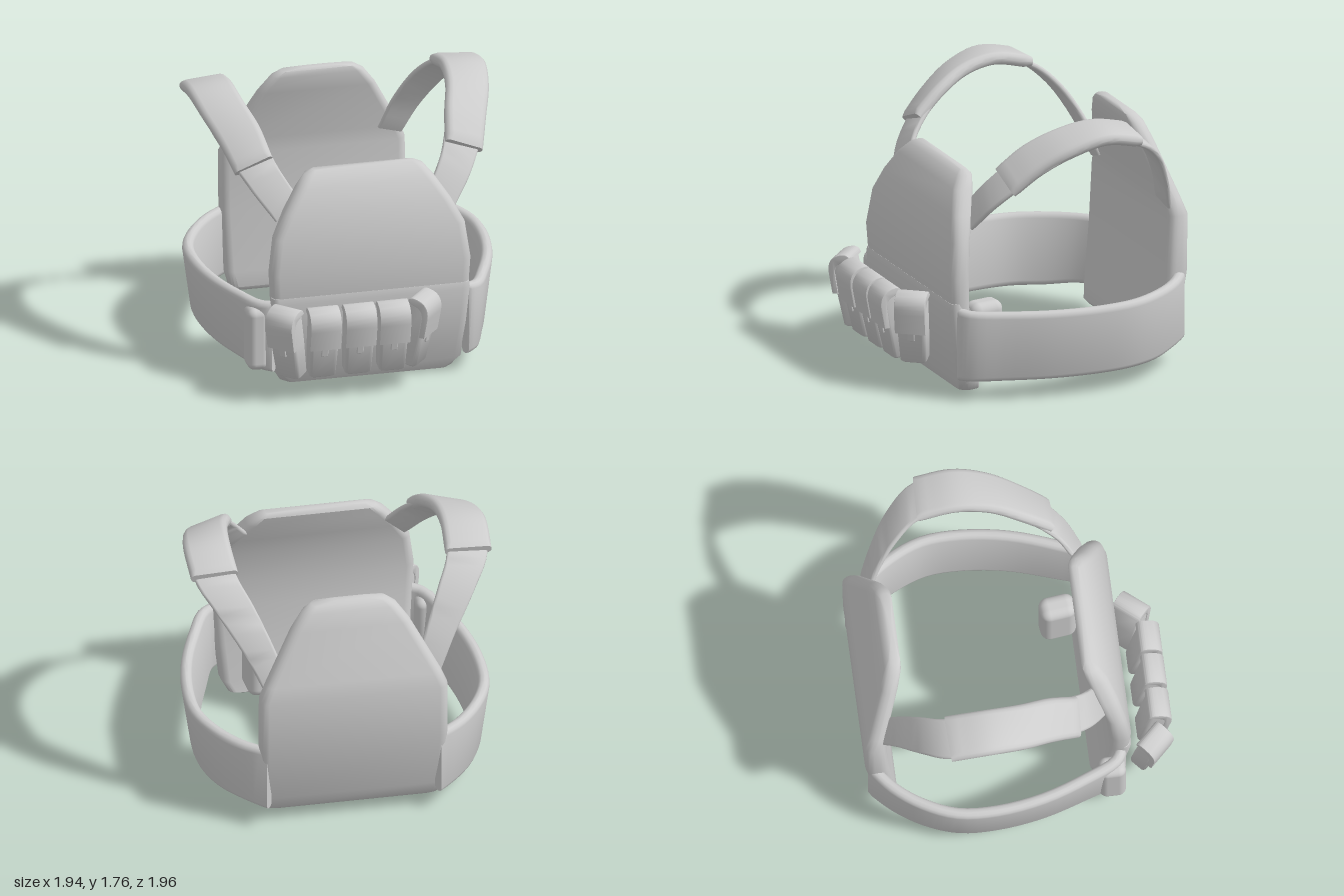
import * as THREE from 'three';
import { toCreasedNormals } from 'three/addons/utils/BufferGeometryUtils.js';
import { RoundedBoxGeometry } from 'three/addons/geometries/RoundedBoxGeometry.js';

const V = (x, y, z) => new THREE.Vector3(x, y, z);

// Rounded rectangle outline of w by h as [u, v] pairs
function roundRect(w, h, r, k = 4) {
  r = Math.min(r, w / 2 - 0.001, h / 2 - 0.001);
  const pts = [];
  [[1, 1], [-1, 1], [-1, -1], [1, -1]].forEach(([sx, sy], q) => {
    for (let i = 0; i <= k; i++) {
      const a = (q + i / k) * Math.PI / 2;
      pts.push([sx * (w / 2 - r) + r * Math.cos(a), sy * (h / 2 - r) + r * Math.sin(a)]);
    }
  });
  return pts;
}

// Closed solid through rings of points, capped at both ends
function loft(rings, crease = 0.95) {
  const n = rings[0].length, pts = rings.flat(), idx = [];
  for (let i = 0; i < rings.length - 1; i++) {
    for (let j = 0; j < n; j++) {
      const a = i * n + j, b = i * n + (j + 1) % n;
      idx.push(a, b, a + n, b, b + n, a + n);
    }
  }
  [0, rings.length - 1].forEach((ri, end) => {
    const c = pts.length;
    pts.push(rings[ri].reduce((s, p) => s.add(p), V(0, 0, 0)).divideScalar(n));
    for (let j = 0; j < n; j++) {
      const a = ri * n + j, b = ri * n + (j + 1) % n;
      idx.push(...(end ? [c, a, b] : [c, b, a]));
    }
  });
  // Turn the faces outward if the enclosed volume is negative
  let vol = 0;
  for (let i = 0; i < idx.length; i += 3) {
    vol += pts[idx[i]].dot(V(0, 0, 0).crossVectors(pts[idx[i + 1]], pts[idx[i + 2]]));
  }
  if (vol < 0) idx.reverse();
  const g = new THREE.BufferGeometry().setFromPoints(pts);
  g.setIndex(idx);
  return toCreasedNormals(g, crease);
}

// Upright plate from levels of [y, half width, back z, front z]
function plate(levels) {
  return loft(levels.map(([y, w, z0, z1]) =>
    roundRect(2 * w, z1 - z0, 0.055).map(([u, v]) => V(u, y, (z0 + z1) / 2 + v))));
}

// Soft band between two edge curves; rows are [ax, ay, az, bx, by, bz]
function band(rows, thick, side, steps = 24) {
  const ca = new THREE.CatmullRomCurve3(rows.map(p => V(p[0] * side, p[1], p[2])));
  const cb = new THREE.CatmullRomCurve3(rows.map(p => V(p[3] * side, p[4], p[5])));
  const rings = [];
  for (let i = 0; i <= steps; i++) {
    const t = i / steps, a = ca.getPoint(t), b = cb.getPoint(t);
    const u = b.clone().sub(a), w = u.length();
    u.normalize();
    const tan = ca.getTangent(t).add(cb.getTangent(t));
    const n = V(0, 0, 0).crossVectors(tan, u).normalize();
    const c = a.add(b).multiplyScalar(0.5);
    const h = thick * (i === 0 || i === steps ? 0.7 : 1);
    rings.push(roundRect(w, h, h * 0.48, 3).map(([p, q]) =>
      c.clone().addScaledVector(u, p).addScaledVector(n, q)));
  }
  return loft(rings);
}

export function createModel() {
  const model = new THREE.Group();
  model.name = 'plateVest';
  const fabric = new THREE.MeshStandardMaterial({ color: 0xcccccc });
  fabric.name = 'grey fabric';
  const add = (name, geo, parent = model) => {
    const m = new THREE.Mesh(geo, fabric);
    m.name = name;
    parent.add(m);
    return m;
  };

  // Chest and back plates
  add('frontPlate', plate([
    [0.005, 0.5, 0.47, 0.53], [0.03, 0.56, 0.44, 0.57], [0.1, 0.6, 0.46, 0.6],
    [0.35, 0.62, 0.51, 0.65], [0.62, 0.64, 0.55, 0.68], [0.8, 0.65, 0.555, 0.69],
    [1.03, 0.62, 0.535, 0.66], [1.18, 0.54, 0.48, 0.62], [1.32, 0.445, 0.43, 0.565],
    [1.39, 0.385, 0.41, 0.51], [1.415, 0.33, 0.43, 0.475]]));
  add('frontPanel', plate([
    [0.02, 0.53, 0.47, 0.575], [0.1, 0.605, 0.5, 0.612], [0.35, 0.628, 0.54, 0.662],
    [0.6, 0.645, 0.58, 0.692], [0.64, 0.64, 0.6, 0.682]]));
  add('backPlate', plate([
    [0.07, 0.5, -0.86, -0.81], [0.1, 0.56, -0.895, -0.785], [0.2, 0.585, -0.93, -0.8],
    [0.6, 0.6, -0.99, -0.84], [0.98, 0.6, -0.995, -0.86], [1.08, 0.56, -0.965, -0.85],
    [1.42, 0.38, -0.865, -0.755], [1.53, 0.3, -0.83, -0.725],
    [1.57, 0.24, -0.8, -0.725], [1.585, 0.1, -0.775, -0.74]]));

  for (const [side, label] of [[1, 'left'], [-1, 'right']]) {
    // Side wrap, leaning inward at the bottom
    const path = [[0.62, 0.63], [0.7, 0.58], [0.79, 0.39], [0.89, 0.1], [0.935, -0.2],
      [0.92, -0.45], [0.83, -0.66], [0.7, -0.83], [0.54, -0.955]];
    add(label + 'SideWrap', band(path.map(([x, z], i) => {
      const lean = 0.065 * Math.sin(Math.PI * i / 8);
      const top = 0.61 - 0.015 * Math.sin(Math.PI * i / 8);
      return [x - lean, 0.13 + (i > 6 ? 0.02 : 0), z * (1 - lean * 0.6), x, top, z];
    }), 0.075, side, 32));

    // Thin webbing running from chest to back
    add(label + 'ShoulderStrap', band([
      [0.44, 1.26, 0.46, 0.58, 1.1, 0.52], [0.53, 1.41, 0.36, 0.72, 1.29, 0.4],
      [0.63, 1.64, 0.08, 0.89, 1.56, 0.08], [0.68, 1.71, -0.25, 0.93, 1.68, -0.25],
      [0.67, 1.65, -0.5, 0.93, 1.62, -0.5], [0.59, 1.52, -0.65, 0.82, 1.48, -0.67],
      [0.49, 1.3, -0.78, 0.67, 1.24, -0.8], [0.41, 1.08, -0.85, 0.57, 1.03, -0.87]],
    0.035, side, 32));

    // Padded shoulder sleeve
    add(label + 'ShoulderPad', band([
      [0.56, 1.47, 0.34, 0.8, 1.37, 0.33], [0.6, 1.61, 0.16, 0.86, 1.51, 0.17],
      [0.65, 1.695, -0.03, 0.93, 1.63, -0.03], [0.67, 1.725, -0.25, 0.965, 1.695, -0.25],
      [0.66, 1.67, -0.5, 0.96, 1.65, -0.49]], 0.085, side));
  }

  // Front pouches: tapered body, folded lid and pull tab
  const body = loft([[-0.235, 0.15, 0.09], [-0.22, 0.17, 0.12], [0, 0.185, 0.13],
    [0.18, 0.19, 0.13], [0.215, 0.18, 0.1]].map(([y, w, d]) =>
    roundRect(w, d, 0.025).map(([u, v]) => V(u, y, v))));
  const fold = new THREE.Shape();
  fold.moveTo(-0.07, 0.2);
  fold.quadraticCurveTo(-0.065, 0.233, -0.03, 0.235);
  fold.quadraticCurveTo(0.075, 0.238, 0.08, 0.13);
  fold.lineTo(0.082, 0);
  fold.lineTo(0.055, -0.005);
  fold.lineTo(0.05, 0.12);
  fold.quadraticCurveTo(0.045, 0.19, -0.03, 0.195);
  const lid = new THREE.ExtrudeGeometry(fold, {
    depth: 0.188, bevelEnabled: true, bevelSize: 0.006, bevelThickness: 0.006, bevelSegments: 2 });
  lid.translate(0, 0, -0.094).rotateY(-Math.PI / 2);
  const lidGeo = toCreasedNormals(lid, 0.75);
  const tabGeo = new RoundedBoxGeometry(0.045, 0.07, 0.014, 2, 0.006);
  [[-0.575, 0.815, -0.8], [-0.36, 0.855, 0], [-0.13, 0.855, 0], [0.09, 0.855, 0], [0.28, 0.785, 0.88]]
    .forEach(([x, z, turn], i) => {
      const pouch = new THREE.Group();
      pouch.name = 'pouch' + (i + 1);
      pouch.position.set(x, 0.4, z);
      pouch.rotation.set(0.2, turn, 0, 'YXZ');
      add('pouchBody', body, pouch);
      add('pouchLid', lidGeo, pouch);
      add('pouchTab', tabGeo, pouch).position.set(0, -0.03, 0.068);
      model.add(pouch);
    });

  // Small pouches behind the chest plate and beside the side wrap
  const inner = add('innerPouch', new RoundedBoxGeometry(0.16, 0.43, 0.23, 4, 0.06));
  inner.position.set(0.395, 0.335, 0.35);
  inner.rotation.y = 0.12;
  const sidePouch = add('sidePouch', new RoundedBoxGeometry(0.14, 0.42, 0.17, 4, 0.05));
  sidePouch.position.set(-0.715, 0.35, 0.555);
  return model;
}
